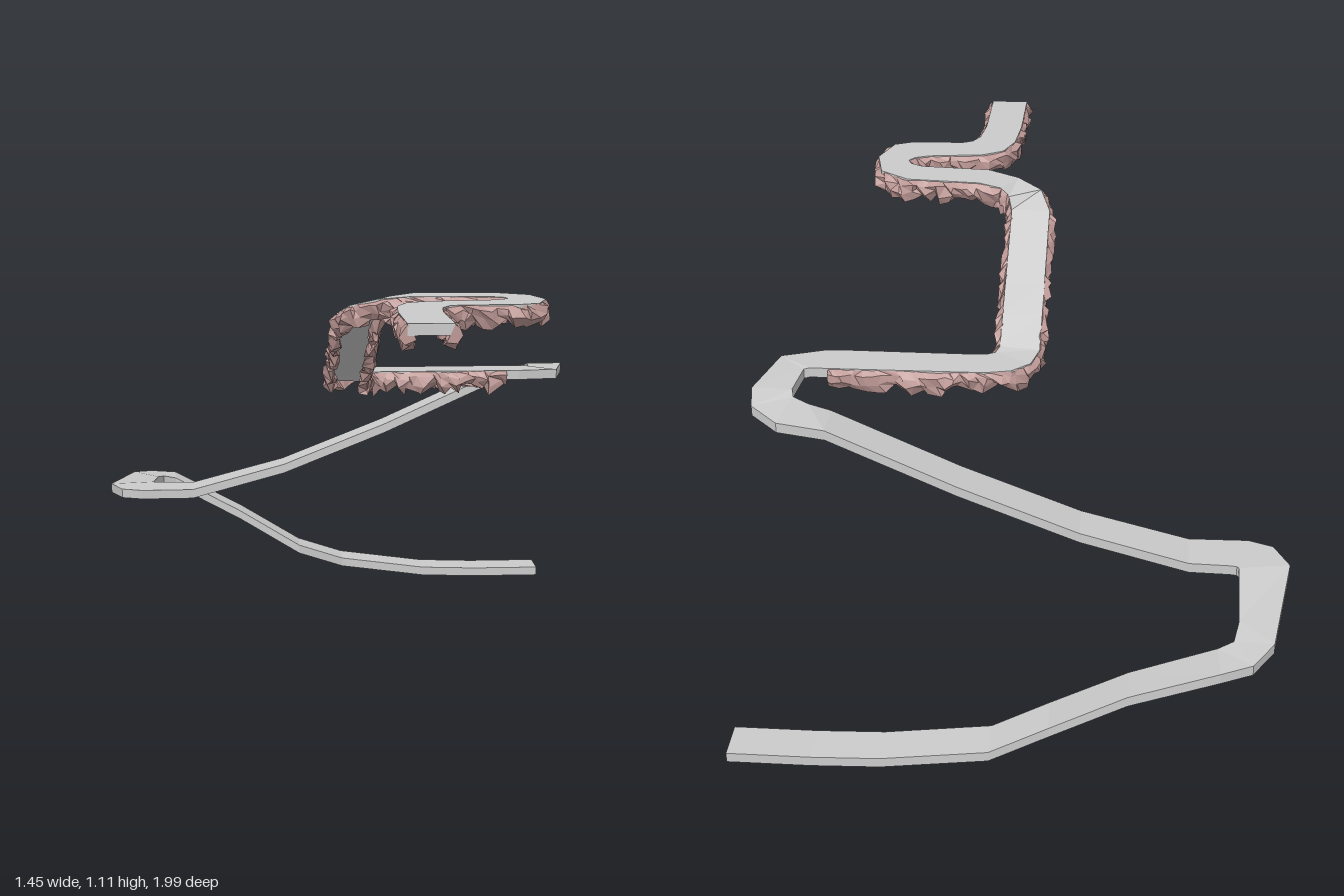
import * as THREE from 'three';

const THICK = 0.028;

// Road cross-sections, top to bottom of the hill:
// left edge x, z, right edge x, z, height of surface
const upper = [
  [0.08, 0.99, 0.19, 0.99, 1.11], [0.08, 0.75, 0.19, 0.75, 1.11],
  [0.09, 0.62, 0.2, 0.66, 1.11], [0.12, 0.54, 0.22, 0.62, 1.11],
  [0.18, 0.505, 0.25, 0.605, 1.11], [0.34, 0.485, 0.4, 0.6, 1.11],
  [0.38, 0.468, 0.455, 0.575, 1.11], [0.395, 0.445, 0.49, 0.47, 1.11],
  [0.385, 0.42, 0.465, 0.355, 1.11], [0.35, 0.4, 0.38, 0.295, 1.11],
  [0.15, 0.385, 0.17, 0.28, 1.11], [0.06, 0.355, 0.105, 0.27, 1.1],
  [-0.01, 0.315, 0.08, 0.255, 1.08], [-0.04, 0.23, 0.07, 0.23, 1.05],
  [-0.04, 0, 0.07, 0, 0.93], [-0.04, -0.1, 0.07, -0.1, 0.88],
  [-0.04, -0.21, 0.07, -0.195, 0.825], [-0.02, -0.28, 0.08, -0.22, 0.82],
  [0.03, -0.325, 0.1, -0.232, 0.82], [0.1, -0.34, 0.14, -0.236, 0.82],
  [0.52, -0.345, 0.5, -0.236, 0.82],
];
const lower = [
  [0.57, -0.345, 0.54, -0.238, 0.82], [0.585, -0.348, 0.66, -0.275, 0.817],
  [0.597, -0.45, 0.705, -0.45, 0.812], [0.59, -0.474, 0.69, -0.53, 0.802],
  [0.55, -0.483, 0.615, -0.59, 0.788], [0.49, -0.483, 0.49, -0.59, 0.77],
  [0.15, -0.485, 0.15, -0.592, 0.615], [-0.17, -0.485, -0.17, -0.595, 0.488],
  [-0.46, -0.483, -0.46, -0.6, 0.41], [-0.62, -0.48, -0.57, -0.603, 0.41],
  [-0.685, -0.505, -0.585, -0.606, 0.41], [-0.725, -0.59, -0.59, -0.612, 0.41],
  [-0.67, -0.9, -0.585, -0.81, 0.385], [-0.615, -0.975, -0.57, -0.88, 0.373],
  [-0.535, -1, -0.53, -0.897, 0.362], [-0.31, -0.965, -0.31, -0.865, 0.25],
  [-0.11, -0.955, -0.11, -0.85, 0.13], [0.04, -0.99, 0.04, -0.885, 0.073],
  [0.32, -0.99, 0.32, -0.885, 0.036], [0.5, -0.99, 0.5, -0.885, 0.03],
  [0.72, -0.99, 0.72, -0.885, 0.03],
];

function seeded(seed) {
  return () => {
    seed = (seed * 1664525 + 1013904223) % 4294967296;
    return seed / 4294967296;
  };
}

// Skins a row of equal rings and closes both ends
function loft(rings, material, name) {
  const pos = [];
  const tri = (...pts) => pts.forEach((p) => pos.push(p.x, p.y, p.z));
  const n = rings[0].length;
  for (let i = 0; i < rings.length - 1; i++) {
    for (let k = 0; k < n; k++) {
      const a = rings[i][k], b = rings[i][(k + 1) % n];
      const c = rings[i + 1][(k + 1) % n], d = rings[i + 1][k];
      tri(a, b, c);
      tri(a, c, d);
    }
  }
  const s = rings[0], e = rings[rings.length - 1];
  for (let k = 1; k < n - 1; k++) {
    tri(s[0], s[k + 1], s[k]);
    tri(e[0], e[k], e[k + 1]);
  }
  const geo = new THREE.BufferGeometry();
  geo.setAttribute('position', new THREE.Float32BufferAttribute(pos, 3));
  geo.computeVertexNormals();
  const mesh = new THREE.Mesh(geo, material);
  mesh.name = name;
  return mesh;
}

// Jagged rock hanging under one edge; side is +1 for left, -1 for right
function rockEdge(side, seed, material, name) {
  const rand = seeded(seed);
  const pts = upper.map(([ax, az, bx, bz, y]) =>
    side > 0 ? new THREE.Vector3(ax, y, az) : new THREE.Vector3(bx, y, bz));
  const curve = new THREE.CatmullRomCurve3(pts, false, 'catmullrom', 0);
  curve.arcLengthDivisions = 1500;
  const profile = [[0, -0.004], [0.013, -0.016], [0.014, -0.036], [0.002, -0.056], [-0.016, -0.05], [-0.01, -0.024]];
  const steps = Math.round(curve.getLength() / 0.021);
  const rings = [];
  for (let i = 0; i <= steps; i++) {
    const u = i / steps;
    const p = curve.getPointAt(u);
    const t = curve.getTangentAt(u).setY(0).normalize();
    const out = new THREE.Vector3(t.z, 0, -t.x).multiplyScalar(side);
    const depth = 0.7 + 0.65 * rand();
    const ring = profile.map(([o, y], k) => {
      const j = k === 0 ? 0.003 : 0.009;
      return p.clone()
        .addScaledVector(out, o + (rand() - 0.5) * 2 * j)
        .addScaledVector(t, i === 0 || i === steps ? 0 : (rand() - 0.5) * 0.026)
        .add(new THREE.Vector3(0, Math.min(-0.003, y * depth + (rand() - 0.5) * j), 0));
    });
    rings.push(side > 0 ? ring.reverse() : ring);
  }
  return loft(rings, material, name);
}

export function createModel() {
  const model = new THREE.Group();
  model.name = 'mountainRoad';
  const grey = new THREE.MeshStandardMaterial({ color: 0xcccccc, flatShading: true });
  const rock = new THREE.MeshStandardMaterial({ color: 0xbf9a97, flatShading: true, side: THREE.DoubleSide });

  // Winding road slab
  const rings = [...upper, ...lower].map(([ax, az, bx, bz, y]) => [
    new THREE.Vector3(ax, y, az), new THREE.Vector3(bx, y, bz),
    new THREE.Vector3(bx, y - THICK, bz), new THREE.Vector3(ax, y - THICK, az),
  ]);
  rings.forEach((r) => r.forEach((p) => { p.y -= 0.002; }));
  model.add(loft(rings, grey, 'road'));

  // Rocks along both edges of the upper stretch
  model.add(rockEdge(1, 11, rock, 'leftRocks'));
  model.add(rockEdge(-1, 47, rock, 'rightRocks'));
  return model;
}
